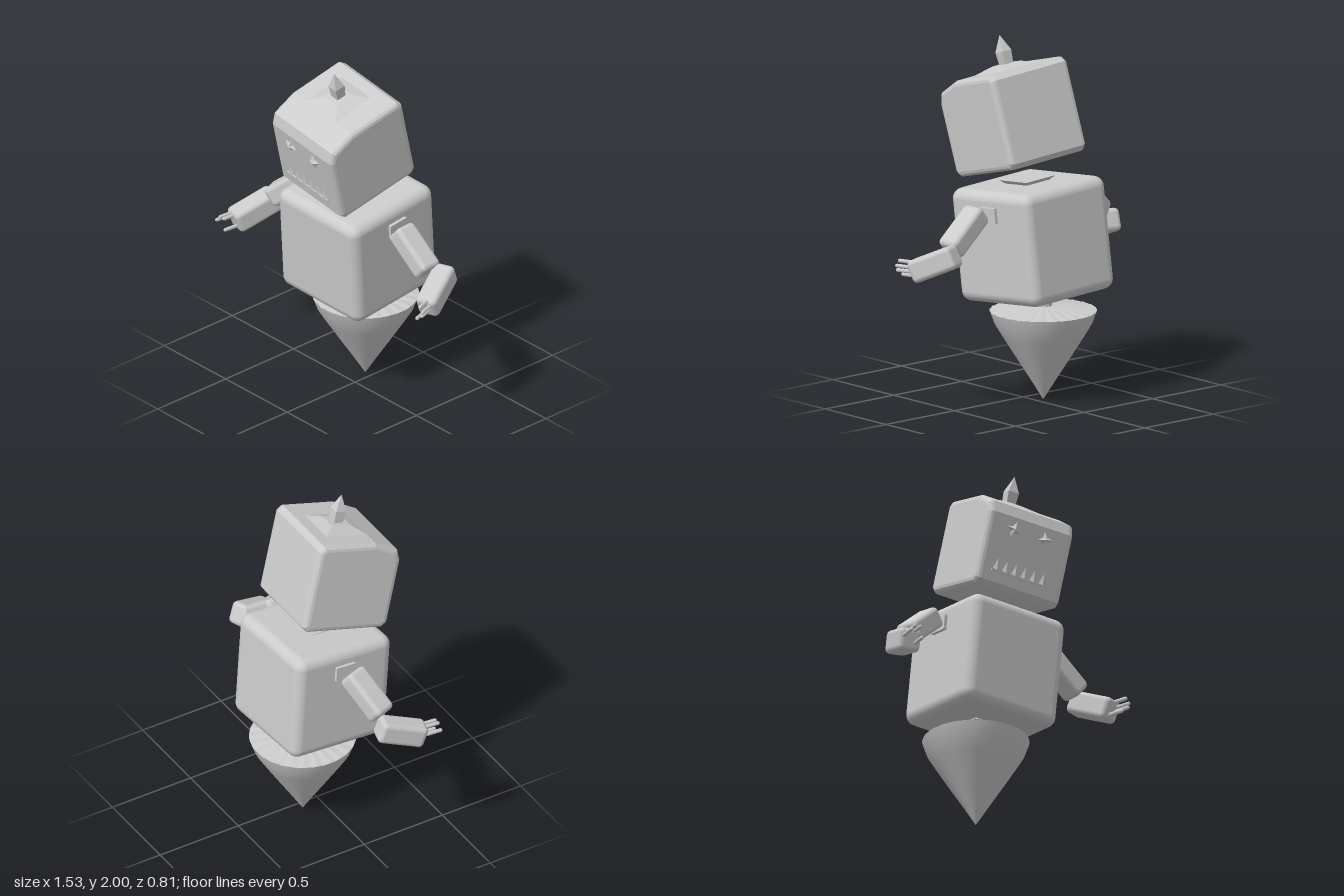
import * as THREE from 'three';
import { RoundedBoxGeometry } from 'three/addons/geometries/RoundedBoxGeometry.js';

const V = (x, y, z) => new THREE.Vector3(x, y, z);
const smooth = new THREE.MeshStandardMaterial({ color: 0xcccccc, side: THREE.DoubleSide });
const flat = new THREE.MeshStandardMaterial({ color: 0xcccccc, flatShading: true, side: THREE.DoubleSide });

function add(parent, name, geometry, material = flat, pos = [0, 0, 0]) {
  const mesh = new THREE.Mesh(geometry, material);
  mesh.name = name;
  mesh.position.set(...pos);
  parent.add(mesh);
  return mesh;
}

function group(parent, name, pos = [0, 0, 0], rot = [0, 0, 0]) {
  const g = new THREE.Group();
  g.name = name;
  g.position.set(...pos);
  g.rotation.set(...rot);
  parent.add(g);
  return g;
}

// Square frustum with sides parallel to the axes
const frustum = (top, bottom, h) =>
  new THREE.CylinderGeometry(top * Math.SQRT1_2, bottom * Math.SQRT1_2, h, 4).rotateY(Math.PI / 4);

// Rounded box stretched from a to b
function limb(parent, name, a, b, w, h) {
  const geo = new RoundedBoxGeometry(w, h, a.distanceTo(b), 2, 0.028);
  const mesh = add(parent, name, geo, smooth);
  mesh.position.copy(a).lerp(b, 0.5);
  mesh.lookAt(b);
}

// Rounded shell whose flat front is replaced by a panel with a slot
function buildTorsoShell(parent, w, h, d) {
  const box = new RoundedBoxGeometry(w, h, d, 4, 0.06);
  const p = box.attributes.position, n = box.attributes.normal;
  let front = 0;
  for (let i = 0; i < p.count; i++) front = Math.max(front, p.getZ(i));
  const pos = [], nor = [];
  let hx = 0, hy = 0;
  for (let i = 0; i < p.count; i += 3) {
    const tri = [i, i + 1, i + 2];
    if (tri.every(k => p.getZ(k) > front - 1e-4)) {
      hx = Math.max(hx, ...tri.map(k => p.getX(k)));
      hy = Math.max(hy, ...tri.map(k => p.getY(k)));
    } else {
      for (const k of tri) {
        pos.push(p.getX(k), p.getY(k), p.getZ(k));
        nor.push(n.getX(k), n.getY(k), n.getZ(k));
      }
    }
  }
  const shell = new THREE.BufferGeometry();
  shell.setAttribute('position', new THREE.Float32BufferAttribute(pos, 3));
  shell.setAttribute('normal', new THREE.Float32BufferAttribute(nor, 3));
  add(parent, 'torsoShell', shell, smooth);

  const panel = new THREE.Shape([[-hx, -hy], [hx, -hy], [hx, hy], [-hx, hy]].map(q => new THREE.Vector2(...q)));
  panel.holes.push(new THREE.Path(
    [[-0.25, -0.105], [0.25, -0.105], [0.265, -0.25], [-0.265, -0.25]].map(q => new THREE.Vector2(...q))));
  add(parent, 'frontPanel', new THREE.ShapeGeometry(panel), flat, [0, 0, front]);
}

function buildHead(parent) {
  const head = group(parent, 'head', [0, 1.555, 0.095], [0.26, -0.075, -0.068]);

  // Side profile with sloping brow, extruded across the width
  const profile = [[-0.235, -0.265], [0.235, -0.265], [0.265, -0.235], [0.265, 0.15], [0.238, 0.212],
    [0.09, 0.262], [-0.235, 0.265], [-0.265, 0.235], [-0.265, -0.235]];
  const block = new THREE.ExtrudeGeometry(new THREE.Shape(profile.map(q => new THREE.Vector2(...q))), {
    depth: 0.47, bevelThickness: 0.03, bevelSize: 0.03, bevelOffset: -0.03, bevelSegments: 3 });
  add(head, 'headBlock', block.translate(0, 0, -0.235).rotateY(-Math.PI / 2), flat);

  // Spike on its low mound
  add(head, 'spikeMound', frustum(0.11, 0.27, 0.03), flat, [-0.015, 0.275, -0.04]);
  const spike = [[0.036, 0.25], [0.045, 0.36], [0, 0.452]].map(q => new THREE.Vector2(...q));
  add(head, 'spike', new THREE.LatheGeometry(spike, 4).rotateY(Math.PI / 4), flat, [-0.015, 0, -0.042]);

  for (const side of [-1, 1]) {
    // Four-pointed star eye, rising to a peak
    const eye = new THREE.ConeGeometry(0.05, 0.025, 8, 1, true).rotateX(Math.PI / 2);
    const p = eye.attributes.position;
    for (let i = 0; i < p.count; i++) {
      const odd = Math.abs(p.getX(i) * p.getY(i)) > 1e-4;
      if (odd) p.setXY(i, p.getX(i) * 0.45, p.getY(i) * 0.45);
    }
    add(head, side > 0 ? 'leftEye' : 'rightEye', eye, flat, [side * 0.1, 0.08, 0.276]).rotation.z = side * 0.25;
  }

  // Row of teeth
  const mouth = group(head, 'mouth', [-0.01, -0.125, 0.262]);
  for (let i = 0; i < 6; i++) {
    const tooth = new THREE.ConeGeometry(0.03, 0.085, 4).scale(1, 1, 0.5);
    add(mouth, 'tooth', tooth, flat, [(i - 2.5) * 0.058, 0, 0]);
  }
  add(mouth, 'lowerLip', new THREE.BoxGeometry(0.35, 0.012, 0.02), flat, [0, -0.045, 0]);
}

function buildTorso(parent) {
  const torso = group(parent, 'torso', [-0.032, 0.893, -0.045], [0.095, 0.03, -0.045]);
  buildTorsoShell(torso, 0.62, 0.63, 0.62);
  add(torso, 'neckPlate', frustum(0.22, 0.15, 0.03), flat, [0, 0.322, 0]);
  add(torso, 'waistPlate', frustum(0.15, 0.21, 0.03), flat, [0, -0.315, 0]);
  for (const side of [-1, 1])
    add(torso, 'shoulderPlate', new THREE.BoxGeometry(0.05, 0.085, 0.12), flat, [side * 0.303, 0.19, -0.01]);
}

function buildArm(parent, name, { shoulder, elbow, wrist, hand, fingers, reach }) {
  const arm = group(parent, name);
  limb(arm, 'upperArm', shoulder, elbow, 0.135, 0.12);
  limb(arm, 'forearm', wrist, hand, 0.125, 0.13);
  for (const [x, y] of fingers) {
    const start = V(x, y, hand.z - 0.03);
    const finger = add(arm, 'finger', new THREE.CapsuleGeometry(0.011, reach.length(), 3, 8), smooth);
    finger.position.copy(start).addScaledVector(reach, 0.5);
    finger.quaternion.setFromUnitVectors(V(0, 1, 0), reach.clone().normalize());
  }
}

function buildCone(parent) {
  const base = group(parent, 'coneBase', [-0.045, 0, -0.116]);
  const side = [[0, 0], [0.065, 0.105], [0.135, 0.215], [0.226, 0.36], [0.268, 0.43], [0.293, 0.5]];
  add(base, 'cone', new THREE.LatheGeometry(side.map(q => new THREE.Vector2(...q)), 48), smooth);

  // Lid with a scalloped rim
  const lid = new THREE.CylinderGeometry(0.05, 0.293, 0.025, 96, 1, true);
  const p = lid.attributes.position;
  for (let i = 0; i < p.count; i++) {
    if (p.getY(i) > 0) continue;
    const a = Math.atan2(p.getZ(i), p.getX(i));
    p.setY(i, p.getY(i) - 0.007 * Math.abs(Math.sin(a * 12)));
  }
  lid.computeVertexNormals();
  add(base, 'lid', lid, smooth, [0, 0.516, 0]);
  add(base, 'pivot', new THREE.CylinderGeometry(0.047, 0.047, 0.035, 16), flat, [0, 0.525, 0]);
}

export function createModel() {
  const model = new THREE.Group();
  model.name = 'robot';
  buildCone(model);
  buildTorso(model);
  buildHead(model);
  buildArm(model, 'rightArm', {
    shoulder: V(-0.395, 1.12, -0.02), elbow: V(-0.605, 0.94, 0.055),
    wrist: V(-0.645, 0.895, 0), hand: V(-0.712, 0.805, 0.25),
    fingers: [[-0.748, 0.825], [-0.72, 0.855], [-0.69, 0.855], [-0.68, 0.79]], reach: V(-0.01, 0, 0.11),
  });
  buildArm(model, 'leftArm', {
    shoulder: V(0.345, 1.095, -0.02), elbow: V(0.565, 0.912, -0.033),
    wrist: V(0.605, 0.905, -0.13), hand: V(0.7, 0.79, 0.11),
    fingers: [[0.7, 0.845], [0.72, 0.82], [0.715, 0.795], [0.675, 0.765]], reach: V(0.035, 0, 0.105),
  });
  return model;
}
